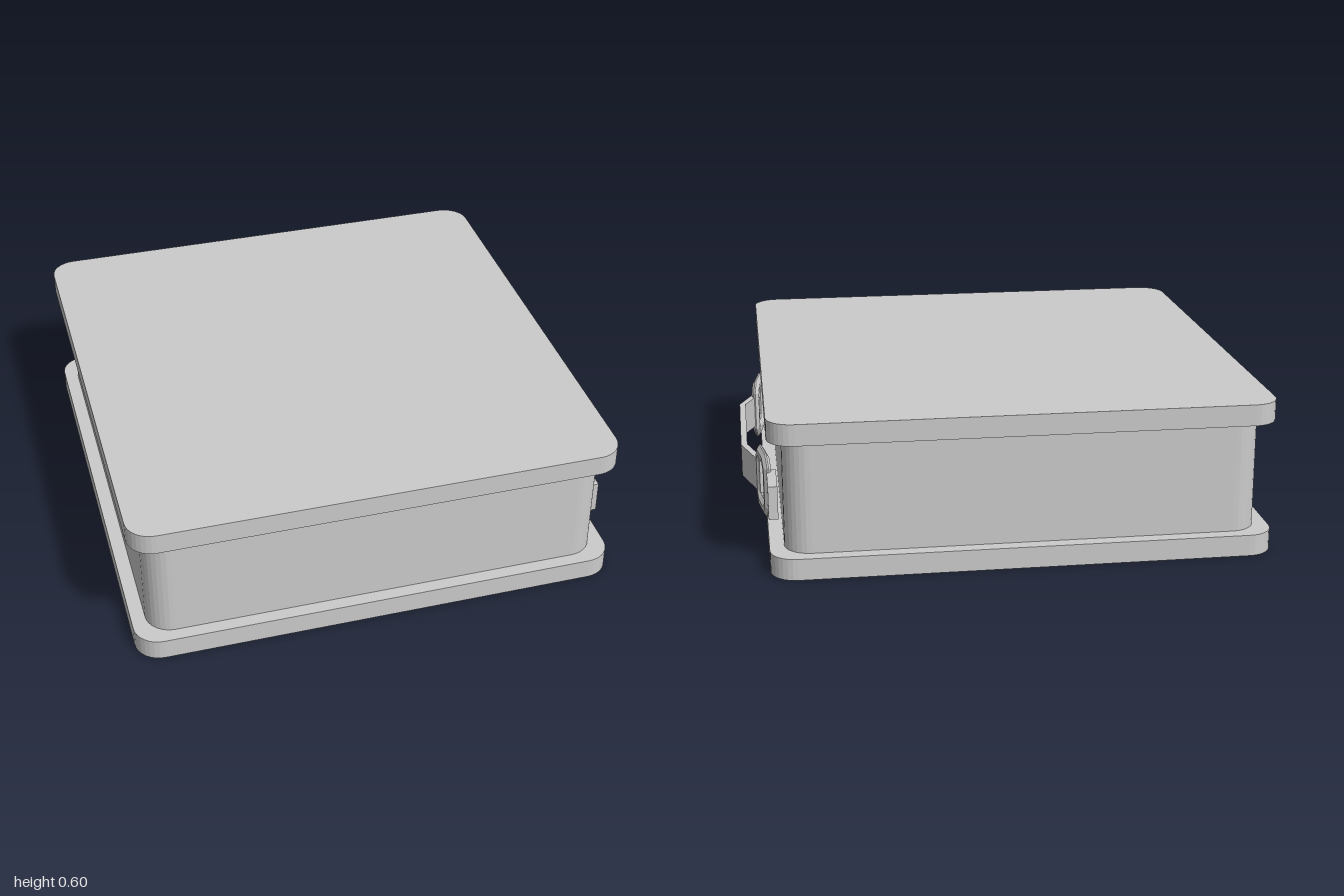
import * as THREE from 'three';

const material = new THREE.MeshStandardMaterial({ color: 0xcccccc, flatShading: true });

function addMesh(parent, name, geometry) {
  const mesh = new THREE.Mesh(geometry, material);
  mesh.name = name;
  parent.add(mesh);
  return mesh;
}

function addBox(parent, name, [x0, x1], [y0, y1], [z0, z1]) {
  const mesh = addMesh(parent, name, new THREE.BoxGeometry(x1 - x0, y1 - y0, z1 - z0));
  mesh.position.set((x0 + x1) / 2, (y0 + y1) / 2, (z0 + z1) / 2);
  return mesh;
}

// Rounded rectangle centred on the origin
function roundedRect(hw, hh, r) {
  const s = new THREE.Shape();
  s.absarc(hw - r, hh - r, r, 0, Math.PI / 2);
  s.absarc(-hw + r, hh - r, r, Math.PI / 2, Math.PI);
  s.absarc(-hw + r, -hh + r, r, Math.PI, Math.PI * 1.5);
  s.absarc(hw - r, -hh + r, r, Math.PI * 1.5, Math.PI * 2);
  s.closePath();
  return s;
}

// Horizontal slab with rounded upright corners
function addSlab(parent, name, hw, hd, r, y0, y1) {
  const geometry = new THREE.ExtrudeGeometry(roundedRect(hw, hd, r), {
    depth: y1 - y0, bevelEnabled: false, curveSegments: 4,
  });
  geometry.rotateX(-Math.PI / 2);
  addMesh(parent, name, geometry).position.set(-0.045, y0, 0);
}

// Rectangle with cut corners
function chamferedPoints(hw, hh, c) {
  return [
    [hw, -hh + c], [hw, hh - c], [hw - c, hh], [-hw + c, hh],
    [-hw, hh - c], [-hw, -hh + c], [-hw + c, -hh], [hw - c, -hh],
  ].map(([x, y]) => new THREE.Vector2(x, y));
}

// Bevelled buckle ring lying in the yz plane
function ringGeometry() {
  const shape = new THREE.Shape(chamferedPoints(0.09, 0.111, 0.036));
  shape.holes.push(new THREE.Path(chamferedPoints(0.073, 0.092, 0.026).reverse()));
  const geometry = new THREE.ExtrudeGeometry(shape, {
    depth: 0.006, bevelThickness: 0.012, bevelSize: 0.017, bevelSegments: 1,
  });
  return geometry.translate(0, 0, -0.003).rotateY(Math.PI / 2);
}

// Bent carrying strap: plan outline extruded upward
function handleGeometry() {
  const outline = [
    [0.938, 0.46], [1.0, 0.31], [1.0, -0.25], [0.932, -0.47],
    [0.908, -0.463], [0.975, -0.246], [0.975, 0.305], [0.914, 0.45],
  ].map(([x, z]) => new THREE.Vector2(x, -z));
  const geometry = new THREE.ExtrudeGeometry(new THREE.Shape(outline), {
    depth: 0.13, bevelEnabled: false,
  });
  return geometry.rotateX(-Math.PI / 2).translate(0, 0.168, 0);
}

export function createModel() {
  const model = new THREE.Group();
  model.name = 'carryingCase';

  // Case body between two overhanging plates
  addSlab(model, 'bottomPlate', 0.955, 0.975, 0.1, 0, 0.083);
  addSlab(model, 'caseBody', 0.9, 0.922, 0.1, 0.083, 0.518);
  addSlab(model, 'topPlate', 0.955, 0.975, 0.1, 0.518, 0.6);

  // Latch above the handle
  addBox(model, 'latch', [0.85, 0.88], [0.24, 0.415], [-0.07, 0.07]);

  // Handle strap, with a tab and a tilted ring at each end
  addMesh(model, 'handle', handleGeometry());
  for (const side of [1, -1]) {
    const name = side > 0 ? 'front' : 'back';
    const z = [0.575 * side, 0.78 * side].sort((a, b) => a - b);
    addBox(model, name + 'StrapTab', [0.872, 0.908], [0.17, 0.3], z);
    const ring = addMesh(model, name + 'Ring', ringGeometry());
    ring.position.set(0.918, 0.234, side > 0 ? 0.505 : -0.515);
    ring.rotation.y = -0.15 * side;
  }
  return model;
}
